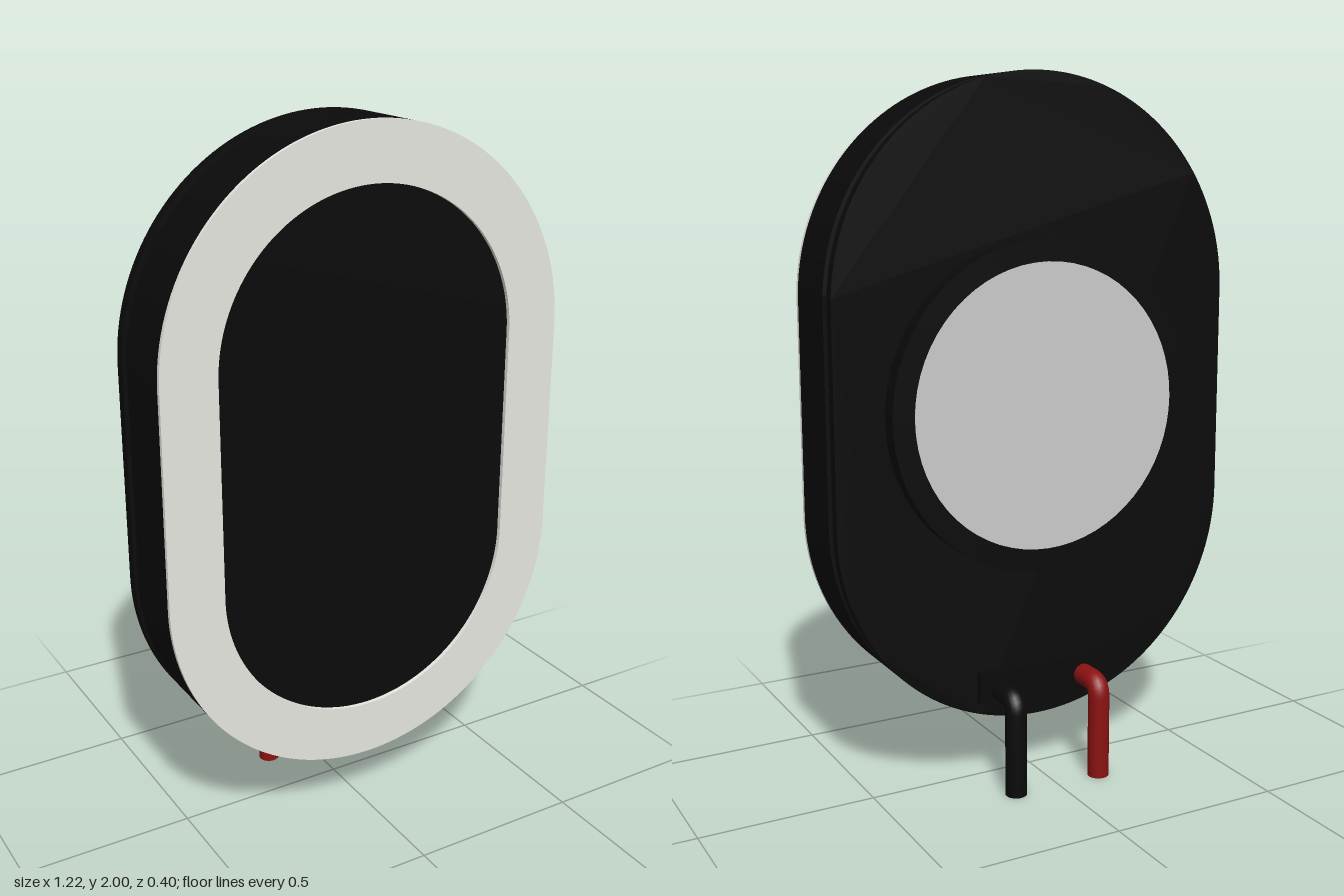
import * as THREE from 'three';

const CY = 1.09;      // height of the oval's centre
const STRAIGHT = 0.3; // half length of the straight sides

const material = (color) => new THREE.MeshStandardMaterial({ color });

// Trace an oval with straight sides and round ends
function trace(path, r) {
  path.moveTo(r, -STRAIGHT);
  path.lineTo(r, STRAIGHT);
  path.absarc(0, STRAIGHT, r, 0, Math.PI, false);
  path.lineTo(-r, -STRAIGHT);
  path.absarc(0, -STRAIGHT, r, Math.PI, Math.PI * 2, false);
  return path;
}

// Oval slab from z0 to z1, with an optional oval opening
function ovalSlab(r, z0, z1, hole) {
  const shape = trace(new THREE.Shape(), r);
  if (hole) shape.holes.push(trace(new THREE.Path(), hole));
  const geo = new THREE.ExtrudeGeometry(shape, { depth: z1 - z0, bevelEnabled: false, curveSegments: 40 });
  return geo.translate(0, CY, z0);
}

// Disc lying in the xy plane from z0 to z1
function disc(r, z0, z1) {
  return new THREE.CylinderGeometry(r, r, z1 - z0, 64)
    .rotateX(Math.PI / 2)
    .translate(0, CY, (z0 + z1) / 2);
}

export function createModel() {
  const group = new THREE.Group();
  const black = material(0x0a0a0a);
  const grey = material(0xcccccc);
  const pale = material(0xe8e8e2);
  const red = material(0x8b1212);

  const add = (name, geo, mat) => {
    const mesh = new THREE.Mesh(geo, mat);
    mesh.name = name;
    group.add(mesh);
  };

  // Solid front body with a thin adhesive ring on its face
  add('adhesiveRing', ovalSlab(0.61, 0.188, 0.2, 0.45), pale);
  add('frontBody', ovalSlab(0.61, 0, 0.188), black);

  // Metal frame and back plate
  add('frame', ovalSlab(0.585, -0.03, 0), grey);
  add('backPlate', ovalSlab(0.61, -0.06, -0.03), black);

  // Magnet housing with its metal cap
  add('magnetHousing', disc(0.467, -0.11, -0.06), black);
  add('magnetCap', disc(0.403, -0.111, -0.1), grey);

  // Terminal strip
  add('terminalStrip', new THREE.BoxGeometry(0.4, 0.09, 0.022).translate(0, 0.293, -0.07), black);

  // Wires: out of the strip, round a bend and straight down
  for (const [name, x, mat] of [['redWire', -0.136, red], ['blackWire', 0.135, black]]) {
    const path = new THREE.CurvePath();
    const p = (y, z) => new THREE.Vector3(x, y, z);
    path.add(new THREE.LineCurve3(p(0.28, -0.06), p(0.28, -0.13)));
    path.add(new THREE.QuadraticBezierCurve3(p(0.28, -0.13), p(0.28, -0.17), p(0.24, -0.17)));
    path.add(new THREE.LineCurve3(p(0.24, -0.17), p(0, -0.17)));
    add(name, new THREE.TubeGeometry(path, 48, 0.031, 20), mat);
    add(name + 'End', new THREE.CircleGeometry(0.031, 20).rotateX(Math.PI / 2).translate(x, 0, -0.17), mat);
  }

  return group;
}
